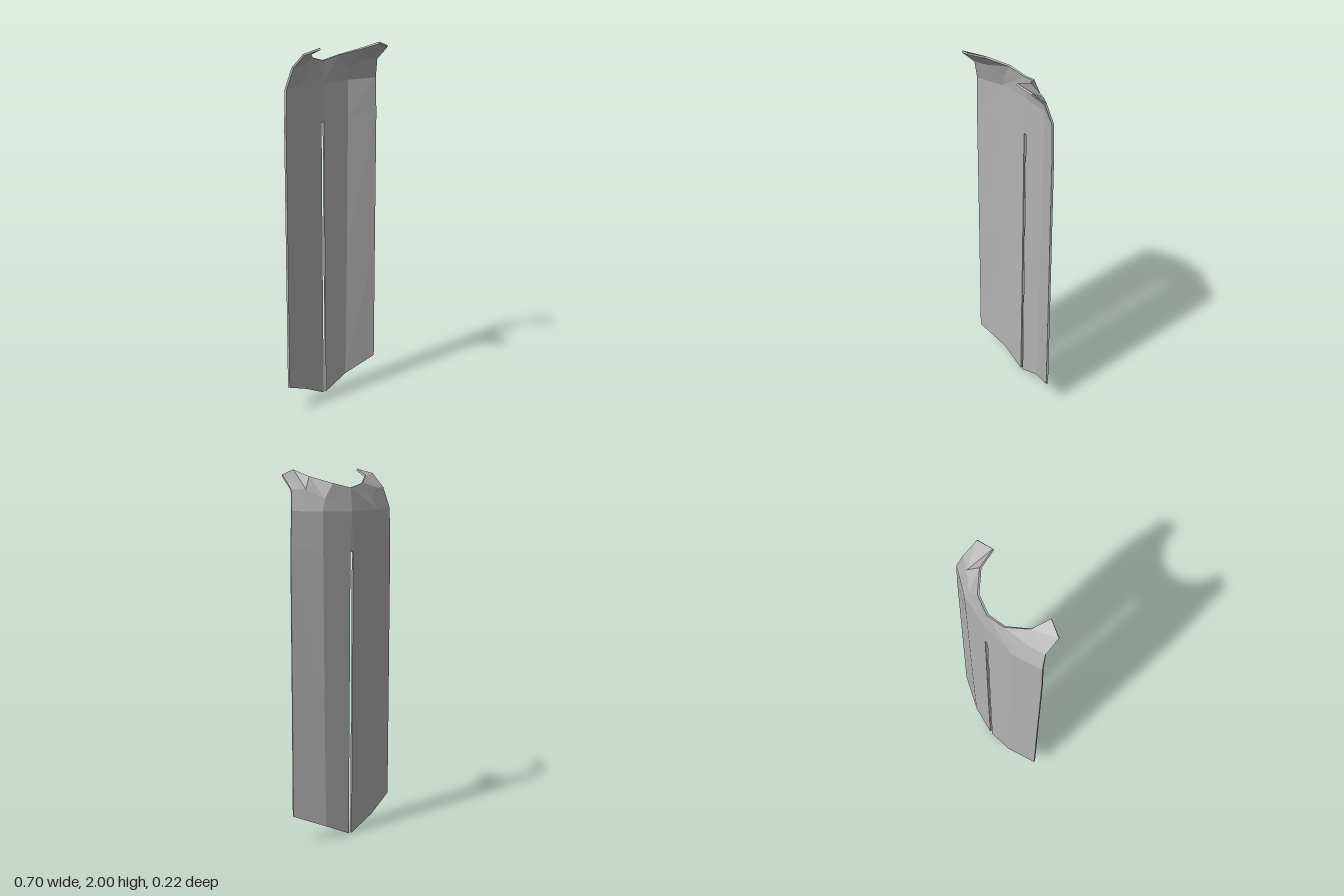
import * as THREE from 'three';

const THICKNESS = 0.011;

// Outer surface of the left half; points with x = 0 are shared by both halves
const points = {
  // hanging panel: slit edge, fold, outer edge
  s0: [0.01, 0, -0.102], m0: [0.165, 0.072, -0.092], e0: [0.345, 0.15, -0.033],
  s1: [0.01, 0.83, -0.108], m1: [0.178, 0.83, -0.096], e1: [0.347, 0.83, -0.034],
  s2: [0.01, 1.565, -0.112], m2: [0.187, 1.58, -0.099], e2: [0.35, 1.6, -0.034],
  slitTop: [0, 1.575, -0.112],
  // shoulder line
  c: [0, 1.78, -0.113], m: [0.19, 1.785, -0.1], e: [0.343, 1.79, -0.034],
  // shoulder folds
  p: [0.165, 1.85, -0.088], q: [0.25, 1.9, -0.035], side: [0.322, 1.9, -0.004],
  // neckline and front tips
  n0: [0, 1.905, -0.102], n1: [0.105, 1.93, -0.08], n2: [0.197, 1.965, 0.003],
  t1: [0.224, 2.0, 0.103], t2: [0.317, 1.975, 0.077],
};

// Polygons, counterclockwise from the front
const faces = [
  's0 m0 m1 s1', 'm0 e0 e1 m1', 's1 m1 m2 s2', 'm1 e1 e2 m2',
  'slitTop s2 c', 's2 m2 m c', 'm2 e2 e m',
  'c m p n1 n0', 'm e side q p', 'p q n2 n1', 'q side t2 t1 n2',
].map((f) => f.split(' '));

function capeGeometry() {
  const verts = [], index = new Map(), tris = [];
  const vertex = (name, sign) => {
    const [x, y, z] = points[name];
    const key = x === 0 ? name : name + sign;
    if (!index.has(key)) {
      index.set(key, verts.length);
      verts.push(new THREE.Vector3(x * sign, y, z));
    }
    return index.get(key);
  };

  // Both mirrored halves, each polygon cut into a fan
  for (const sign of [1, -1]) {
    for (const face of faces) {
      const ids = face.map((n) => vertex(n, sign));
      if (sign < 0) ids.reverse();
      for (let i = 1; i < ids.length - 1; i++) tris.push([ids[0], ids[i], ids[i + 1]]);
    }
  }

  // Inner surface, offset along the averaged normals
  const normals = verts.map(() => new THREE.Vector3());
  for (const [a, b, c] of tris) {
    const n = verts[b].clone().sub(verts[a]).cross(verts[c].clone().sub(verts[a])).normalize();
    for (const i of [a, b, c]) normals[i].add(n);
  }
  const count = verts.length;
  const all = [...verts, ...verts.map((v, i) => v.clone().addScaledVector(normals[i].normalize(), THICKNESS))];

  const out = [];
  const edges = new Set(tris.flatMap(([a, b, c]) => [`${a},${b}`, `${b},${c}`, `${c},${a}`]));
  for (const [a, b, c] of tris) {
    out.push(a + count, b + count, c + count, c, b, a);
    // Rim along every open edge
    for (const [i, j] of [[a, b], [b, c], [c, a]]) {
      if (!edges.has(`${j},${i}`)) out.push(i, j, j + count, i, j + count, i + count);
    }
  }

  const geometry = new THREE.BufferGeometry().setFromPoints(out.map((i) => all[i]));
  geometry.computeVertexNormals();
  return geometry;
}

export function createModel() {
  const group = new THREE.Group();
  group.name = 'cape';
  const cloth = new THREE.MeshStandardMaterial({ name: 'grey cloth', color: 0xb4b4b4, flatShading: true });
  const cape = new THREE.Mesh(capeGeometry(), cloth);
  cape.name = 'splitCape';
  group.add(cape);
  return group;
}
